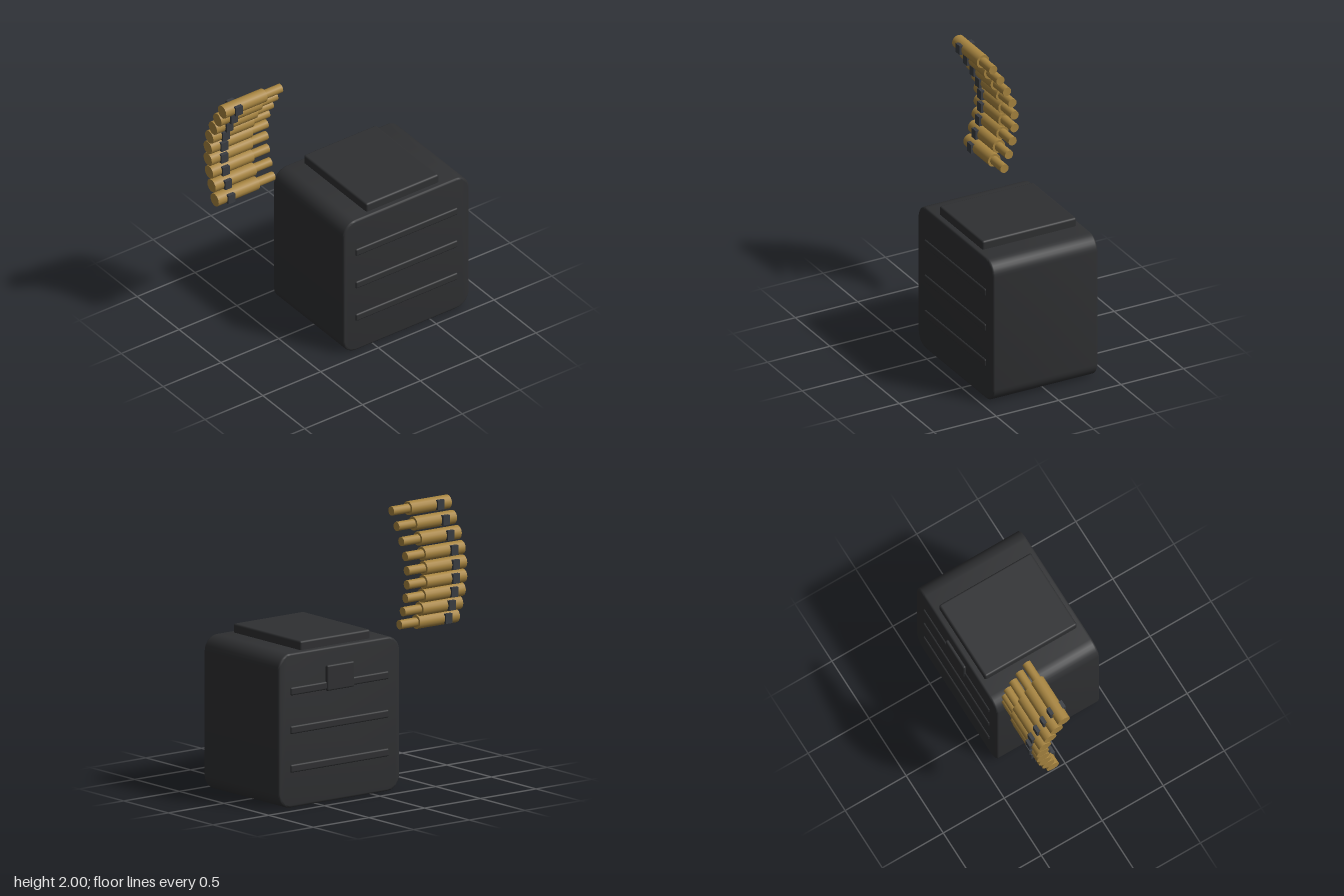
import * as THREE from 'three';
import { toCreasedNormals } from 'three/addons/utils/BufferGeometryUtils.js';
import { RoundedBoxGeometry } from 'three/addons/geometries/RoundedBoxGeometry.js';

const dark = new THREE.MeshStandardMaterial({ color: 0x2f3032 });
const steel = new THREE.MeshStandardMaterial({ color: 0x3a3d42 });
const brass = new THREE.MeshStandardMaterial({ color: 0xa88540 });

const MID = 0.0125; // centre of the box across x

function add(parent, name, geometry, material, x, y, z) {
  const mesh = new THREE.Mesh(geometry, material);
  mesh.name = name;
  mesh.position.set(x, y, z);
  parent.add(mesh);
  return mesh;
}

// Rounded side profile extruded across x, with a small bevel on both ends
function bodyGeometry(width, height, depth, radius, bevel) {
  const w = depth / 2 - bevel, h = height / 2 - bevel, r = radius - bevel;
  const shape = new THREE.Shape();
  shape.absarc(w - r, h - r, r, 0, Math.PI / 2);
  shape.absarc(-w + r, h - r, r, Math.PI / 2, Math.PI);
  shape.absarc(-w + r, -h + r, r, Math.PI, Math.PI * 1.5);
  shape.absarc(w - r, -h + r, r, Math.PI * 1.5, Math.PI * 2);
  const geometry = new THREE.ExtrudeGeometry(shape, {
    depth: width - 2 * bevel, curveSegments: 4,
    bevelSize: bevel, bevelThickness: bevel, bevelSegments: 3,
  });
  geometry.rotateY(Math.PI / 2);
  geometry.center();
  return toCreasedNormals(geometry, 0.6);
}

// Cylinder lying along z between two depths
function rod(radius, z0, z1) {
  const geometry = new THREE.CylinderGeometry(radius, radius, z1 - z0, 16);
  geometry.rotateX(Math.PI / 2);
  geometry.translate(0, 0, (z0 + z1) / 2);
  return geometry;
}

export function createModel() {
  const model = new THREE.Group();
  model.name = 'ammoBoxWithBelt';

  // Box with lid
  const box = new THREE.Group();
  box.name = 'box';
  model.add(box);
  add(box, 'boxBody', bodyGeometry(0.84, 1.106, 1.088, 0.11, 0.015), dark, MID, 0.553, -0.291);
  add(box, 'lid', new RoundedBoxGeometry(0.754, 0.08, 0.628, 2, 0.015), dark, MID, 1.13, -0.291);

  // Reinforcing ribs on both sides
  const ribGeometry = new RoundedBoxGeometry(0.04, 0.058, 0.882, 2, 0.012);
  for (const side of [-1, 1]) {
    for (let i = 0; i < 3; i++) {
      add(box, 'sideRib', ribGeometry, dark, MID + side * 0.411, 0.28 + i * 0.277, -0.291);
    }
  }

  // Latch on one side
  add(box, 'latch', new RoundedBoxGeometry(0.05, 0.184, 0.245, 2, 0.012), dark, -0.403, 0.888, -0.291);

  // Curved belt of rounds, each held by a link
  const belt = new THREE.Group();
  belt.name = 'belt';
  model.add(belt);
  const casing = rod(0.05, 0.478, 0.835);
  const tip = rod(0.033, 0.33, 0.48);
  const link = new THREE.BoxGeometry(0.125, 0.07, 0.058);
  const curve = [-0.304, -0.341, -0.37, -0.386, -0.386, -0.368, -0.325, -0.272, -0.214];
  curve.forEach((x, i) => {
    const round = new THREE.Group();
    round.name = 'round';
    round.position.set(x, 1.15 + i * 0.1, 0);
    belt.add(round);
    add(round, 'casing', casing, brass, 0, 0, 0);
    add(round, 'tip', tip, brass, 0, 0, 0);
    add(round, 'link', link, steel, 0, 0, 0.73);
  });

  return model;
}
